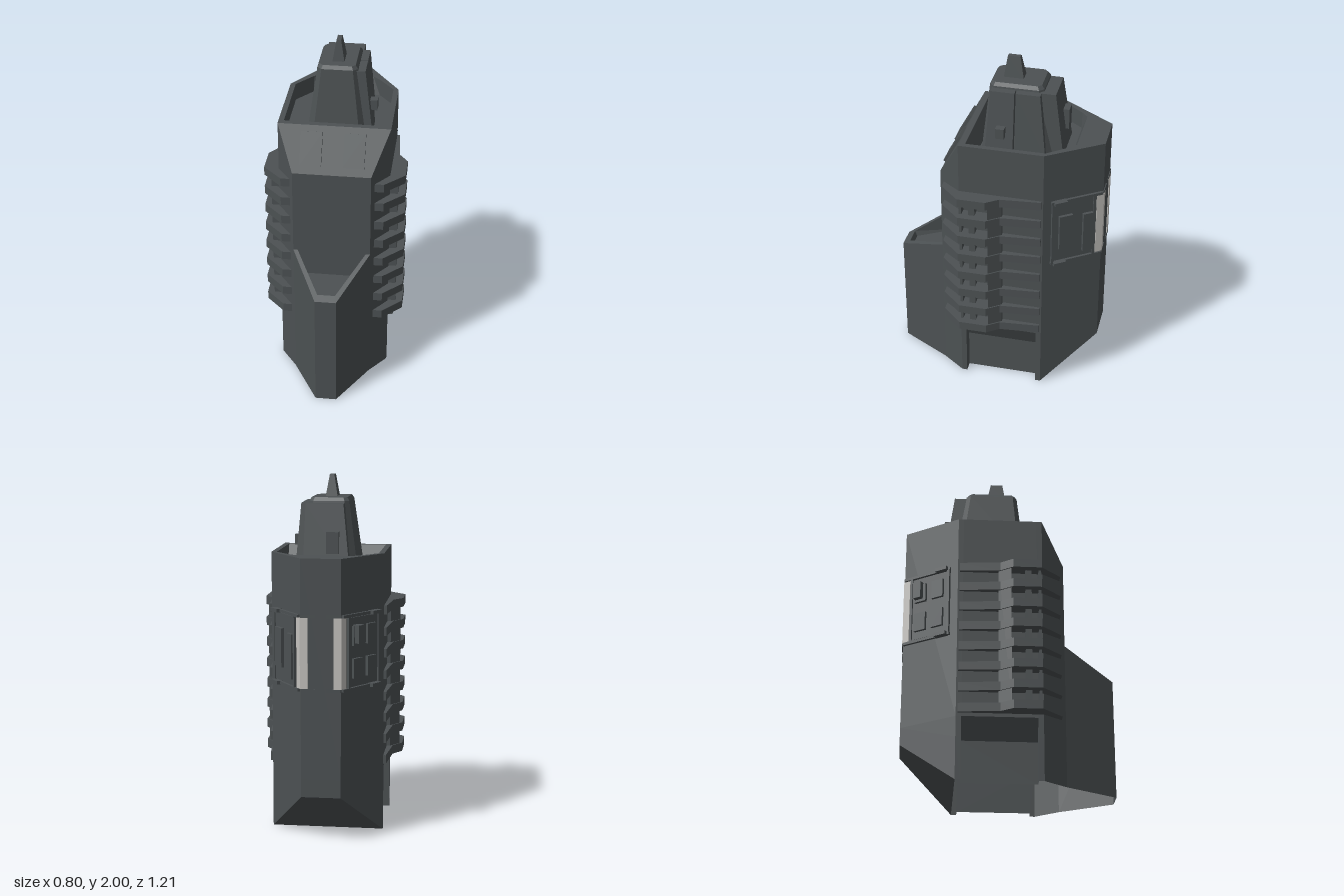
import * as THREE from 'three';

const hull = new THREE.MeshStandardMaterial({ color: 0x4c5153, side: THREE.DoubleSide });
hull.name = 'dark grey hull';
const light = new THREE.MeshStandardMaterial({ color: 0xc4c2be });
light.name = 'pale light panel';

// Flat-shaded skin through rings of [x, y, z] points; open leaves out the closing side.
function loft(rings, { open = false, bottom = true, top = true } = {}) {
  const pos = [];
  const tri = (a, b, c) => pos.push(...a, ...b, ...c);
  const cap = (pts, up) => {
    const flat = pts.map((p) => new THREE.Vector2(p[0], p[2]));
    for (const [i, j, k] of THREE.ShapeUtils.triangulateShape(flat, [])) {
      const [a, b, c] = [pts[i], pts[j], pts[k]];
      const ny = (b[2] - a[2]) * (c[0] - a[0]) - (b[0] - a[0]) * (c[2] - a[2]);
      if (ny * up > 0) tri(a, b, c);
      else tri(a, c, b);
    }
  };
  for (let r = 0; r < rings.length - 1; r++) {
    const lo = rings[r], hi = rings[r + 1], n = lo.length;
    for (let i = 0; i < (open ? n - 1 : n); i++) {
      const j = (i + 1) % n;
      tri(lo[i], hi[i], hi[j]);
      tri(lo[i], hi[j], lo[j]);
    }
  }
  if (bottom) cap(rings[0], -1);
  if (top) cap(rings[rings.length - 1], 1);
  const g = new THREE.BufferGeometry();
  g.setAttribute('position', new THREE.Float32BufferAttribute(pos, 3));
  g.computeVertexNormals();
  return g;
}

// Half outline (x > 0, back to front) and its reflection.
const reflect = (half) => half.slice().reverse().map(([x, y, z]) => [-x, y, z]);
const mirrored = (half) => [...half, ...reflect(half)];

// Rectangle ring with optional cut corners.
function rect(x0, x1, z0, z1, y, c = 0) {
  const p = c
    ? [[x1, z0 + c], [x1, z1 - c], [x1 - c, z1], [x0 + c, z1], [x0, z1 - c], [x0, z0 + c], [x0 + c, z0], [x1 - c, z0]]
    : [[x1, z0], [x1, z1], [x0, z1], [x0, z0]];
  return p.map(([x, z]) => [x, y, z]);
}

// Upright prism from an outline on the +x side; s = -1 mirrors it.
function prism(outline, y0, y1, s) {
  const p = s > 0 ? outline : outline.map(([x, z]) => [-x, z]).reverse();
  return loft([y0, y1].map((y) => p.map(([x, z]) => [x, y, z])));
}

function add(parent, name, geometry, material = hull) {
  const m = new THREE.Mesh(geometry, material);
  m.name = name;
  parent.add(m);
  return m;
}

function box(parent, name, size, at) {
  const m = add(parent, name, new THREE.BoxGeometry(...size));
  m.position.set(...at);
  return m;
}

export function createModel() {
  const model = new THREE.Group();
  model.name = 'towerBuilding';

  // Side and back walls, with a recess low on each side
  const wall = (y, notchX, frontY = y) => {
    const half = [
      [0.315, y, -0.3], [0.315, y, -0.27], [notchX, y, -0.27], [notchX, y, 0.15],
      [0.315, y, 0.15], [0.315, y, 0.18], [0.22, frontY, 0.31],
    ];
    const yb = Math.max(y, 0.26);
    return [...reflect(half), [-0.11, yb, -0.6], [0.11, yb, -0.6], ...half];
  };
  const strip = { open: true, bottom: false, top: false };
  add(model, 'outerWalls', loft([wall(0, 0.255), wall(0.24, 0.255), wall(0.36, 0.315), wall(1.58, 0.315, 1.34)], strip));

  // Front wall with its sloped brow
  const across = (x, y, z) => [[x, y, z], [-x, y, z]];
  add(model, 'frontWall', loft([across(0.22, 0.38, 0.31), across(0.22, 1.34, 0.31), across(0.315, 1.58, 0.18)], strip));

  // Raked underside at the back, and the ceiling of the hollow base
  const plate = { top: false };
  add(model, 'rearRake', loft([mirrored([[0.11, 0.26, -0.6], [0.315, 0, -0.3]])], plate));
  add(model, 'baseCeiling', loft([mirrored([
    [0.11, 0.38, -0.6], [0.315, 0.38, -0.3], [0.315, 0.38, 0.18], [0.22, 0.38, 0.31], [0.06, 0.38, 0.6],
  ])], plate));

  // Parapet around the sunken roof
  add(model, 'parapetAndRoof', loft([
    mirrored([[0.05, 1.58, -0.6], [0.11, 1.58, -0.6], [0.315, 1.58, -0.3], [0.315, 1.58, 0.18]]),
    mirrored([[0.155, 1.58, -0.45], [0.195, 1.58, -0.415], [0.285, 1.58, -0.3], [0.285, 1.58, 0.145]]),
    mirrored([[0.18, 1.48, -0.415], [0.195, 1.48, -0.415], [0.285, 1.48, -0.3], [0.285, 1.48, 0.1]]),
  ], { bottom: false }));

  // Brow hatches
  for (const s of [-1, 1]) {
    box(model, 'browHatch', [0.12, 0.19, 0.03], [s * 0.12, 1.465, 0.243]).rotation.x = -0.496;
  }

  // Wedge-shaped prow with a sloping rim around a sunken deck
  const rimY = (z) => 0.835 - (z - 0.31) * 0.5;
  const prowRing = (x0, x1, z1, y) => mirrored([[x0, y(0.31), 0.31], [x1, y(z1), z1]]);
  add(model, 'prow', loft([
    prowRing(0.22, 0.06, 0.6, () => 0),
    prowRing(0.22, 0.06, 0.6, rimY),
    prowRing(0.195, 0.05, 0.56, rimY),
    prowRing(0.18, 0.045, 0.545, () => 0.68),
  ], { open: true, bottom: false }));

  // Side fins on upright posts
  const fin = [[0.3, -0.29], [0.33, -0.29], [0.35, -0.06], [0.4, 0.01], [0.4, 0.17], [0.29, 0.285], [0.235, 0.285]];
  const posts = [
    [[0.3, 0.155], [0.36, 0.155], [0.36, 0.17], [0.3, 0.17]],
    [[0.3, 0.08], [0.36, 0.08], [0.36, 0.115], [0.3, 0.115]],
    [[0.3, -0.07], [0.335, -0.07], [0.385, 0], [0.3, 0]],
  ];
  for (const s of [-1, 1]) {
    for (let i = 0; i < 8; i++) {
      const y = 0.38 + i * 0.1225;
      add(model, 'sideFin', prism(fin, y, y + 0.05, s));
    }
    for (const p of posts) add(model, 'finPost', prism(p, 0.4, 1.26, s));
  }

  // Equipment bays on the slanted rear corners, with a pale strip folded round each edge
  const cornerStrip = [[0.07, -0.599], [0.07, -0.605], [0.113, -0.605], [0.137, -0.57], [0.132, -0.567], [0.11, -0.599]];
  for (const s of [-1, 1]) {
    const bay = new THREE.Group();
    bay.name = 'rearBay';
    bay.position.set(s * 0.2125, 1.065, -0.45);
    bay.rotation.y = s * 2.17;
    model.add(bay);
    box(bay, 'bayPlate', [0.25, 0.38, 0.014], [0, 0, 0]);
    for (const y of [-0.203, 0.203]) {
      box(bay, 'bayRail', [0.31, 0.016, 0.03], [s * 0.02, y, 0]);
      box(bay, 'railClip', [0.075, 0.02, 0.07], [s * -0.085, y, 0]);
    }
    for (const u of [-0.125, 0.125]) box(bay, 'bayFrame', [0.015, 0.39, 0.03], [s * u, 0, 0]);
    if (s > 0) {
      box(bay, 'bayLocker', [0.08, 0.22, 0.05], [-0.05, 0, 0]);
      box(bay, 'bayLocker', [0.06, 0.25, 0.05], [0.085, -0.03, 0]);
    } else {
      for (const u of [-0.055, 0.06]) {
        for (const y of [-0.09, 0.09]) box(bay, 'bayLocker', [0.075, 0.11, 0.045], [-u, y, 0]);
      }
      box(bay, 'bayPod', [0.05, 0.1, 0.1], [-0.065, 0.1, 0]);
    }
    add(model, 'lightStrip', prism(cornerStrip, 0.87, 1.26, s), light);
    for (const y of [0.862, 1.268]) box(model, 'backRail', [0.08, 0.016, 0.012], [s * 0.07, y, -0.599]);
  }

  // Tapered bridge tower with its rear and side housings
  add(model, 'bridgeTower', loft([
    rect(-0.165, 0.165, -0.31, 0.09, 1.48, 0.035),
    rect(-0.112, 0.112, -0.25, 0.052, 1.86, 0.025),
    rect(-0.1, 0.1, -0.235, 0.04, 1.88, 0.02),
  ]));
  add(model, 'rearHousing', loft([rect(-0.13, 0.13, -0.37, -0.2, 1.48), rect(-0.09, 0.12, -0.32, -0.2, 1.85)]));
  add(model, 'sideHousing', loft([rect(0.05, 0.185, -0.28, -0.105, 1.48), rect(0.05, 0.155, -0.24, -0.105, 1.85)]));
  add(model, 'sideHousing', loft([rect(0.05, 0.2, -0.098, 0.06, 1.48), rect(0.05, 0.155, -0.098, 0.035, 1.85)]));
  box(model, 'sideSensor', [0.05, 0.06, 0.05], [0.195, 1.625, -0.03]);
  box(model, 'rearSensor', [0.07, 0.12, 0.04], [-0.035, 1.64, -0.355]);

  // Mast
  add(model, 'mast', loft([rect(-0.035, 0.035, -0.125, -0.01, 1.87), rect(-0.013, 0.013, -0.1, -0.03, 2)]));
  return model;
}
